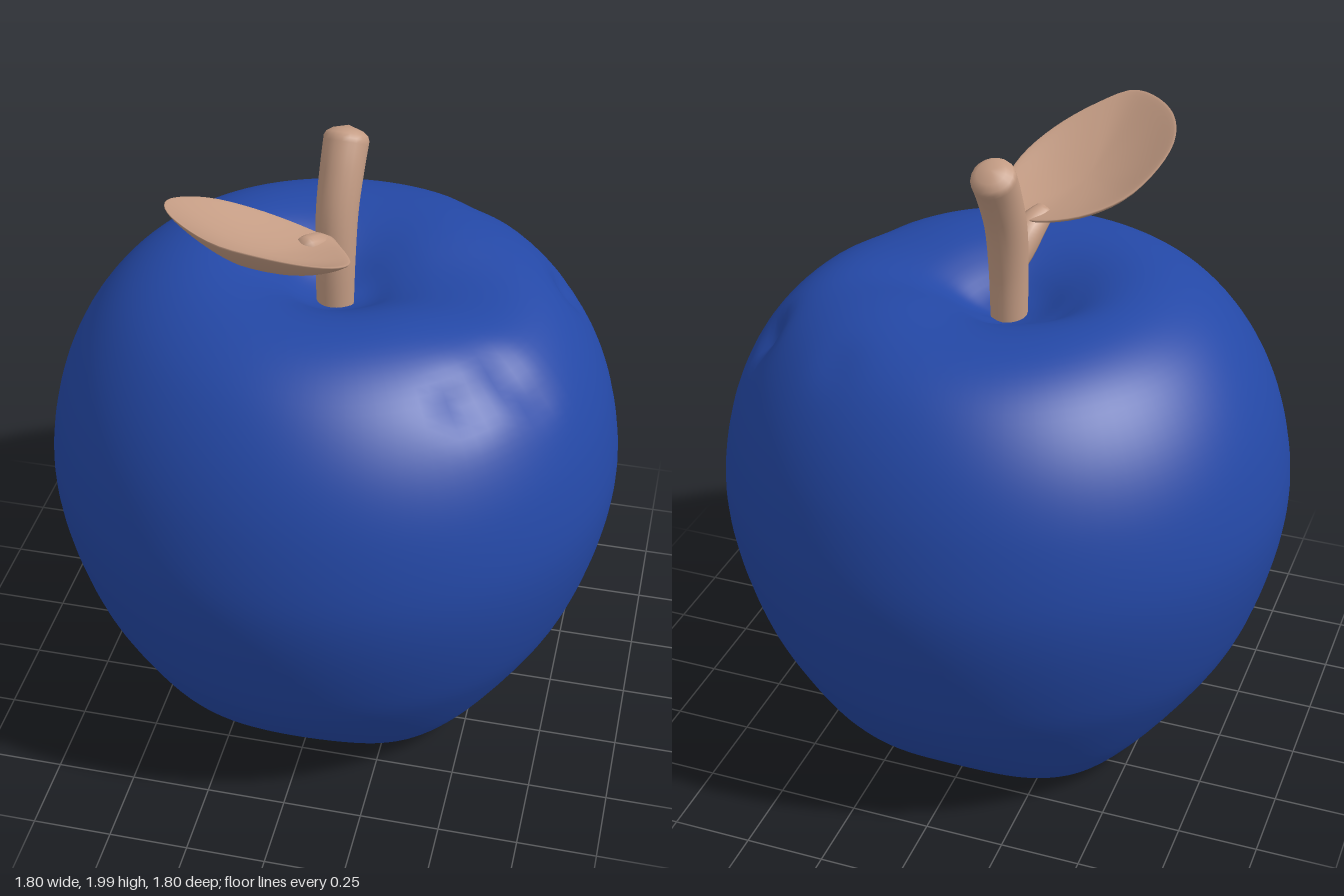
import * as THREE from 'three';
import { mergeVertices } from 'three/addons/utils/BufferGeometryUtils.js';

const V = (x, y, z) => new THREE.Vector3(x, y, z);
const SIDES = 96;

// Weld seams and recompute smooth normals
function smooth(geo) {
  geo.deleteAttribute('uv');
  geo.deleteAttribute('normal');
  const welded = mergeVertices(geo, 1e-4);
  welded.computeVertexNormals();
  return welded;
}

// Apply a rule to every vertex
function deform(geo, rule) {
  const pos = geo.attributes.position, p = V(0, 0, 0);
  for (let i = 0; i < pos.count; i++) {
    rule(p.fromBufferAttribute(pos, i), i);
    pos.setXYZ(i, p.x, p.y, p.z);
  }
  return geo;
}

// Four lobes around the foot, fading out upward
function lobes(p) {
  const fade = Math.max(0, 1 - p.y / 0.42);
  const c = Math.cos(4 * Math.atan2(p.z, p.x));
  const k = 1 + 0.075 * (1 - c) * fade * fade;
  p.x *= k;
  p.z *= k;
}

// Shallow bruises in the skin: x, y, z, radius, depth
const dents = [
  [0.67, 1.38, -0.28, 0.07, 0.04], [0.56, 1.45, 0.33, 0.08, 0.025],
  [0.48, 1.46, 0.48, 0.08, 0.025], [0.64, 1.36, 0.3, 0.06, 0.02],
  [-0.2, 1.53, -0.1, 0.1, 0.03], [0.35, 1.54, -0.58, 0.08, 0.012],
];

function bodyGeometry() {
  const profile = new THREE.CatmullRomCurve3([
    [0.43, 0], [0.485, 0.04], [0.64, 0.2], [0.775, 0.4], [0.85, 0.6], [0.895, 0.82], [0.895, 0.98],
    [0.845, 1.2], [0.76, 1.37], [0.65, 1.495], [0.53, 1.565], [0.41, 1.59], [0.3, 1.575],
    [0.2, 1.53], [0.1, 1.465], [0, 1.43],
  ].map(([r, y]) => V(r, y, 0)));
  const pts = profile.getSpacedPoints(80).map(p => new THREE.Vector2(Math.max(p.x, 0), p.y));
  return smooth(deform(new THREE.LatheGeometry(pts, SIDES), p => {
    lobes(p);
    const r = Math.hypot(p.x, p.z), a = Math.atan2(p.z, p.x);
    // Lower the rim on the left and a little at the back
    if (p.y > 1.2) {
      const rim = Math.exp(-(((r - 0.38) / 0.25) ** 2));
      p.y -= rim * (0.06 * Math.exp(-((a / 0.6) ** 2)) + 0.025 * Math.exp(-(((a + 1.6) / 0.8) ** 2)));
    }
    for (const [x, y, z, size, depth] of dents) {
      const d2 = (p.x - x) ** 2 + (p.y - y) ** 2 + (p.z - z) ** 2;
      const push = depth * Math.exp(-d2 / (size * size));
      const dir = V(p.x, p.y - 0.8, p.z).normalize();
      p.addScaledVector(dir, -push);
    }
  }));
}

// Tube with a changing radius, closed at the far end
function taperTube(points, radius, seg, sides) {
  const path = new THREE.CatmullRomCurve3(points);
  const geo = new THREE.TubeGeometry(path, seg, 1, sides);
  return smooth(deform(geo, (p, i) => {
    const t = Math.floor(i / (sides + 1)) / seg;
    const c = path.getPointAt(t);
    p.sub(c).multiplyScalar(radius(t)).add(c);
  }));
}

// Cupped leaf: rings over the top, round the rim and back underneath
function leafGeometry() {
  const outline = new THREE.CatmullRomCurve3([
    [-0.06, 0.085], [-0.22, 0.085], [-0.34, 0.15], [-0.41, 0.33], [-0.36, 0.49], [-0.2, 0.615],
    [-0.09, 0.58], [0.02, 0.5], [0.09, 0.4], [0.11, 0.3], [0.08, 0.21], [0.02, 0.12],
  ].map(([x, z]) => V(x, 0, z)), true);
  const n = 48, rings = 24, cx = -0.15, cz = 0.34;
  const edge = outline.getSpacedPoints(n);
  const pos = [], index = [];
  for (let j = 0; j <= rings; j++) {
    const a = (j / rings) * Math.PI, s = Math.sin(a);
    for (let i = 0; i < n; i++) {
      const x = cx + (edge[i].x - cx) * s, z = cz + (edge[i].z - cz) * s;
      const plane = 1.68 - 0.29 * x + 0.39 * z;
      pos.push(x, plane - 0.085 * (1 - s * s) + 0.022 * Math.cos(a), z);
      if (j < rings) {
        const p = j * n + i, q = j * n + (i + 1) % n;
        index.push(p, q, p + n, q, q + n, p + n);
      }
    }
  }
  const geo = new THREE.BufferGeometry();
  geo.setAttribute('position', new THREE.Float32BufferAttribute(pos, 3));
  geo.setIndex(index);
  // Make sure the first ring faces up
  const area = edge.slice(0, n).reduce((t, p, i) => t + p.x * edge[i + 1].z - edge[i + 1].x * p.z, 0);
  if (area > 0) geo.setIndex(index.map((_, k) => index[k - (k % 3) + 2 - (k % 3)]));
  const welded = mergeVertices(geo, 1e-4);
  welded.computeVertexNormals();
  return welded;
}

export function createModel() {
  const skin = new THREE.MeshStandardMaterial({ name: 'blue skin', color: 0x2448a6 });
  const wood = new THREE.MeshStandardMaterial({ name: 'tan wood', color: 0xc49c84, side: THREE.DoubleSide });
  const dark = new THREE.MeshStandardMaterial({ name: 'dark base', color: 0x382d3c });

  const group = new THREE.Group();
  const add = (name, geo, mat) => {
    const mesh = new THREE.Mesh(geo, mat);
    mesh.name = name;
    group.add(mesh);
  };

  add('fruitBody', bodyGeometry(), skin);

  // Flat lobed underside
  const base = new THREE.CircleGeometry(0.43, SIDES).rotateX(Math.PI / 2);
  add('base', deform(base, lobes), dark);

  // Curved stem, flaring towards a softly rounded tip
  add('stem', taperTube(
    [V(0, 1.38, 0.01), V(0, 1.6, 0.005), V(0, 1.75, -0.02), V(0.005, 1.87, -0.065), V(0.01, 1.975, -0.125)],
    t => t === 1 ? 0 : (0.056 + 0.014 * t) * Math.min(1, Math.sqrt((1 - t) / 0.05)), 48, 20), wood);

  // Short stalk joining stem and leaf
  add('leafStalk', taperTube(
    [V(0, 1.57, 0.0), V(-0.01, 1.63, 0.06), V(-0.03, 1.69, 0.12), V(-0.06, 1.73, 0.19)],
    t => t === 1 ? 0 : 0.028 + 0.022 * t * (1 - t) * 4, 20, 12), wood);

  add('leaf', leafGeometry(), wood);
  return group;
}
